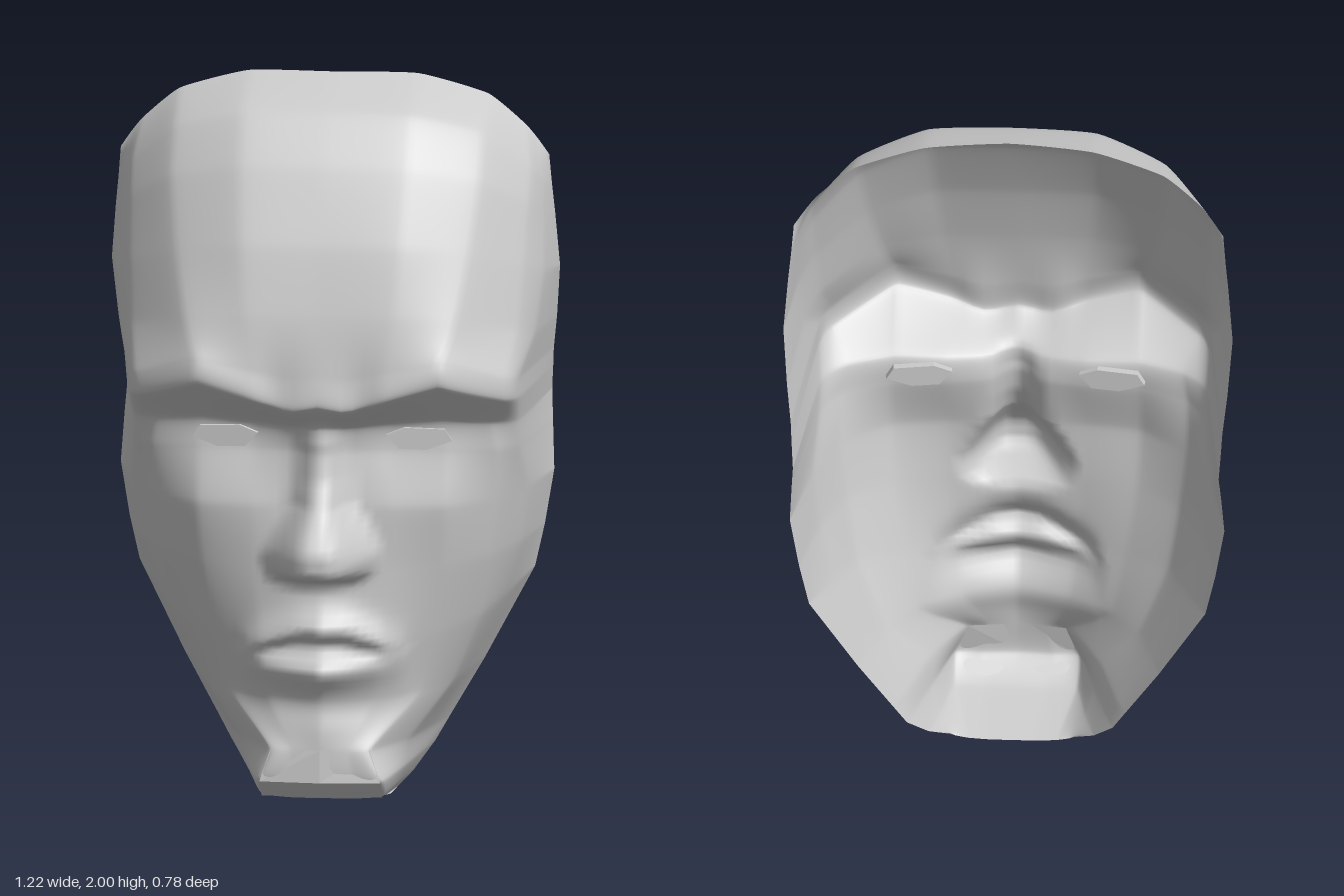
import * as THREE from 'three';

const grey = (flatShading = false) =>
  new THREE.MeshStandardMaterial({ color: 0xcccccc, side: THREE.DoubleSide, flatShading });
const { smoothstep, lerp } = THREE.MathUtils;
// Bump with its own width below and above the middle
const bell = (v, mid, below, above = below) =>
  Math.exp(-(((v - mid) / (v < mid ? below : above)) ** 2));

// Piecewise linear curve through [input, output] pairs, inputs rising
function curve(points, v) {
  if (v <= points[0][0]) return points[0][1];
  for (let i = 1; i < points.length; i++) {
    const [a, p] = points[i - 1], [b, q] = points[i];
    if (v <= b) return lerp(p, q, (v - a) / (b - a));
  }
  return points[points.length - 1][1];
}

// Cross-sections from crown to chin: y, centre z, inner z, corner x, z, side x, z
const sections = [
  [2.0, -0.165, -0.19, 0.42, -0.21, 0.52, -0.22],
  [1.93, 0.03, 0.02, 0.42, -0.04, 0.54, -0.12],
  [1.8, 0.14, 0.13, 0.42, 0.06, 0.54, -0.05],
  [1.6, 0.235, 0.23, 0.4, 0.16, 0.535, 0.03],
  [1.42, 0.29, 0.29, 0.37, 0.25, 0.525, 0.1],
  [1.28, 0.323, 0.323, 0.34, 0.315, 0.5, 0.2],
  [1.2, 0.333, 0.333, 0.34, 0.322, 0.5, 0.2],
  [1.1, 0.23, 0.18, 0.34, 0.165, 0.46, 0.13],
  [1.02, 0.2, 0.17, 0.34, 0.16, 0.47, 0.11],
  [0.87, 0.21, 0.21, 0.34, 0.185, 0.47, 0.08],
  [0.7, 0.24, 0.21, 0.33, 0.16, 0.45, 0.06],
  [0.5, 0.25, 0.21, 0.3, 0.13, 0.42, 0.02],
  [0.33, 0.245, 0.2, 0.26, 0.11, 0.34, 0],
  [0.2, 0.255, 0.248, 0.14, 0.235, 0.23, 0.08],
  [0.11, 0.255, 0.25, 0.17, 0.24, 0.22, 0.06],
  [0.05, 0.17, 0.17, 0.165, 0.16, 0.195, 0.02],
  [0.005, -0.03, -0.03, 0.12, -0.03, 0.15, -0.03],
];

// Temple and open rim beside each section: rim y, x, z, temple x, z
const rim = [
  [1.765, 0.585, -0.235, 0.555, -0.228], [1.68, 0.592, -0.243, 0.572, -0.18],
  [1.6, 0.6, -0.25, 0.577, -0.14], [1.45, 0.612, -0.265, 0.583, -0.08],
  [1.3, 0.6, -0.31, 0.567, -0.01], [1.2, 0.588, -0.345, 0.536, 0.12],
  [1.15, 0.585, -0.362, 0.535, 0.11], [1.08, 0.58, -0.388, 0.527, 0.05],
  [1.0, 0.585, -0.355, 0.53, 0.01], [0.87, 0.592, -0.315, 0.54, -0.08],
  [0.72, 0.567, -0.31, 0.52, -0.1], [0.6, 0.54, -0.31, 0.475, -0.12],
  [0.36, 0.41, -0.24, 0.375, -0.12], [0.2, 0.315, -0.19, 0.285, -0.1],
  [0.14, 0.28, -0.17, 0.255, -0.08], [0.07, 0.225, -0.1, 0.212, -0.05],
  [0.02, 0.17, -0.03, 0.16, -0.03],
];

// Arched brow line, nose ridge height and nose half width
const browArch = [[0, -0.03], [0.08, -0.045], [0.33, 0.04], [0.5, 0], [0.6, 0]];
const noseHeight = [[0.665, 0], [0.69, 0.12], [0.71, 0.152], [0.77, 0.165], [0.8, 0.15],
  [0.88, 0.095], [0.95, 0.06], [1.05, 0.04], [1.13, 0]];
const noseWidth = [[0.67, 0.15], [0.74, 0.175], [0.8, 0.14], [0.88, 0.085], [1.1, 0.07]];

// Raise brow, nose and lips from the plain face
function addFeatures(p) {
  const ax = Math.abs(p.x);
  const y = p.y;
  p.y += curve(browArch, ax) * bell(y, 1.22, 0.1);
  p.z -= 0.015 * bell(ax, 0.11, 0.045) * bell(y, 1.21, 0.1);

  const w = curve(noseWidth, y);
  p.z += curve(noseHeight, y) * (1 - smoothstep(ax, w * 0.2, w));

  // Lips converge at the mouth corners; the upper one overhangs the mouth line
  const open = Math.max(0, 1 - ax / 0.23);
  const rise = Math.min(1, open * 1.4), full = Math.sqrt(open);
  p.z += full * (0.05 * bell(y, lerp(0.465, 0.53, rise), 0.02, 0.05)
    + 0.05 * bell(y, lerp(0.44, 0.425, rise), 0.05, 0.03)
    - 0.01 * bell(y, 0.31, 0.04));
  return p;
}

function faceGeometry() {
  // One mirrored row of control points per section
  const rows = sections.map(([y, z0, z1, x2, z2, x3, z3], i) => {
    const [ry, rx, rz, x4, z4] = rim[i];
    const half = [[x2 * 0.55, z1], [x2, z2], [x3, z3], [x4, z4], [rx, rz]].map(([x, z]) =>
      new THREE.Vector3(x, lerp(y, ry, (x / rx) ** 4), z));
    const other = half.map((p) => new THREE.Vector3(-p.x, p.y, p.z)).reverse();
    return [...other, new THREE.Vector3(0, y, z0), ...half];
  });
  const spline = (points, tension) =>
    new THREE.CatmullRomCurve3(points, false, 'catmullrom', tension);
  // The rim keeps straight edges, the face between is softly rounded
  const last = rows[0].length - 1;
  const columns = rows[0].map((_, j) => spline(rows.map((r) => r[j]), j % last ? 0.28 : 0));

  const down = (rows.length - 1) * 10, across = last * 8;
  const positions = [], index = [];
  for (let i = 0; i <= down; i++) {
    const row = spline(columns.map((c) => c.getPoint(i / down)), 0.25);
    for (let j = 0; j <= across; j++) {
      positions.push(...addFeatures(row.getPoint(j / across)).toArray());
      if (i < down && j < across) {
        const a = i * (across + 1) + j, c = a + across + 1;
        index.push(a, c, a + 1, a + 1, c, c + 1);
      }
    }
  }
  const geometry = new THREE.BufferGeometry();
  geometry.setAttribute('position', new THREE.Float32BufferAttribute(positions, 3));
  geometry.setIndex(index);
  geometry.computeVertexNormals();
  return geometry;
}

// Six-sided eye that shows through the face on both sides
function eye(side) {
  const shape = new THREE.Shape([
    [-0.09, 0.012], [-0.055, -0.027], [0.02, -0.03], [0.09, -0.005], [0.07, 0.027], [-0.04, 0.032],
  ].map(([x, y]) => new THREE.Vector2(x * side, y)));
  const mesh = new THREE.Mesh(
    new THREE.ExtrudeGeometry(shape, { depth: 0.032, bevelEnabled: false }), grey());
  mesh.name = side > 0 ? 'leftEye' : 'rightEye';
  mesh.position.set(0.262 * side, 1.055, 0.143);
  mesh.rotation.y = 0.1 * side;
  return mesh;
}

// Faceted chin: a front band above a band that slopes back underneath
function chin() {
  const geometry = new THREE.PlaneGeometry(2, 2, 2, 2);
  const position = geometry.attributes.position;
  const bands = [[0.2, 0.135, 0.257, 0.24], [0.11, 0.165, 0.264, 0.252], [0.055, 0.165, 0.19, 0.18]];
  for (let i = 0; i < position.count; i++) {
    const side = position.getX(i);
    const [y, halfWidth, middleZ, sideZ] = bands[1 - Math.round(position.getY(i))];
    position.setXYZ(i, side * halfWidth, y, lerp(middleZ, sideZ, Math.abs(side)));
  }
  geometry.computeVertexNormals();
  const mesh = new THREE.Mesh(geometry, grey(true));
  mesh.name = 'chin';
  return mesh;
}

export function createModel() {
  const group = new THREE.Group();
  group.name = 'faceMask';

  const face = new THREE.Mesh(faceGeometry(), grey());
  face.name = 'face';
  group.add(face, eye(1), eye(-1), chin());

  return group;
}
